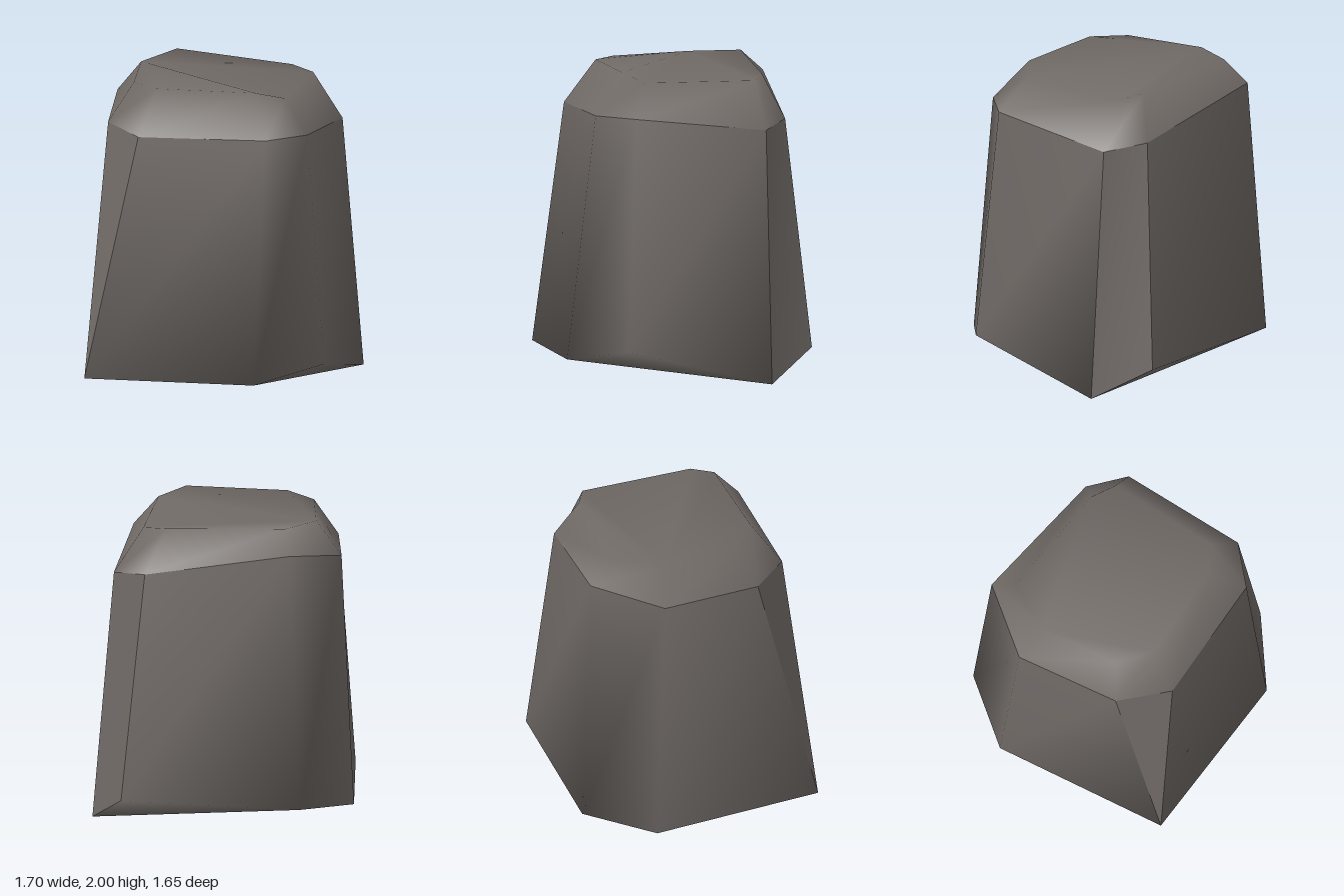
import * as THREE from 'three';

// Rings run clockwise seen from above, starting at the right-hand back corner
const base = [
  [-0.85, 0.13, -0.43], [-0.54, 0.19, -0.83], [0.63, 0.2, -0.76], [0.85, 0, -0.43],
  [0.8, 0.24, 0.52], [0.4, 0.15, 0.82], [-0.74, 0.11, 0.73],
];
const shoulder = [
  [-0.76, 1.77, -0.34], [-0.46, 1.86, -0.74], [0.49, 1.68, -0.62], [0.71, 1.64, -0.43],
  [0.67, 1.74, 0.43], [0.44, 1.74, 0.64], [-0.41, 1.71, 0.61], [-0.67, 1.73, 0.34],
];
const crown = [
  [-0.59, 1.98, -0.28], [-0.42, 2, -0.58], [0.36, 1.96, -0.5], [0.52, 1.94, -0.41],
  [0.5, 1.95, 0.33], [0.33, 2, 0.43], [-0.33, 1.99, 0.42], [-0.52, 1.98, 0.25],
];
const points = [...base, ...shoulder, ...crown];
const S = base.length;
const T = S + shoulder.length;

export function createModel() {
  const group = new THREE.Group();
  const stone = new THREE.MeshStandardMaterial({ color: 0x706a66 });
  stone.name = 'warm grey stone';

  // Each patch is smooth inside and sharp where it meets its neighbours
  const addPatch = (name, faces) => {
    const index = faces.flatMap((f) => (f.length === 4 ? [f[0], f[1], f[2], f[0], f[2], f[3]] : f));
    const used = [...new Set(index)];
    const geometry = new THREE.BufferGeometry();
    geometry.setAttribute('position', new THREE.Float32BufferAttribute(used.flatMap((i) => points[i]), 3));
    geometry.setIndex(index.map((i) => used.indexOf(i)));
    geometry.computeVertexNormals();
    const mesh = new THREE.Mesh(geometry, stone);
    mesh.name = name;
    group.add(mesh);
  };
  const wall = (i, j) => [j, i, S + i, S + j];

  // Sides and sloping underside
  addPatch('rockBody', [
    wall(0, 1), wall(1, 2), wall(3, 4), wall(4, 5), wall(5, 6),
    [0, 6, S + 7, S],
    [0, 1, 6], [1, 2, 3], [1, 3, 5], [3, 4, 5], [1, 5, 6],
  ]);

  // Chipped corners
  addPatch('backCornerChip', [wall(2, 3)]);
  addPatch('frontCornerChip', [[6, S + 6, S + 7]]);

  // Bevelled crown
  const cap = [];
  const n = crown.length;
  for (let i = 0; i < n; i++) {
    const j = (i + 1) % n;
    cap.push([S + j, S + i, T + i, T + j]);
    if (i > 0 && i < n - 1) cap.push([T, T + j, T + i]);
  }
  addPatch('rockCrown', cap);
  return group;
}
